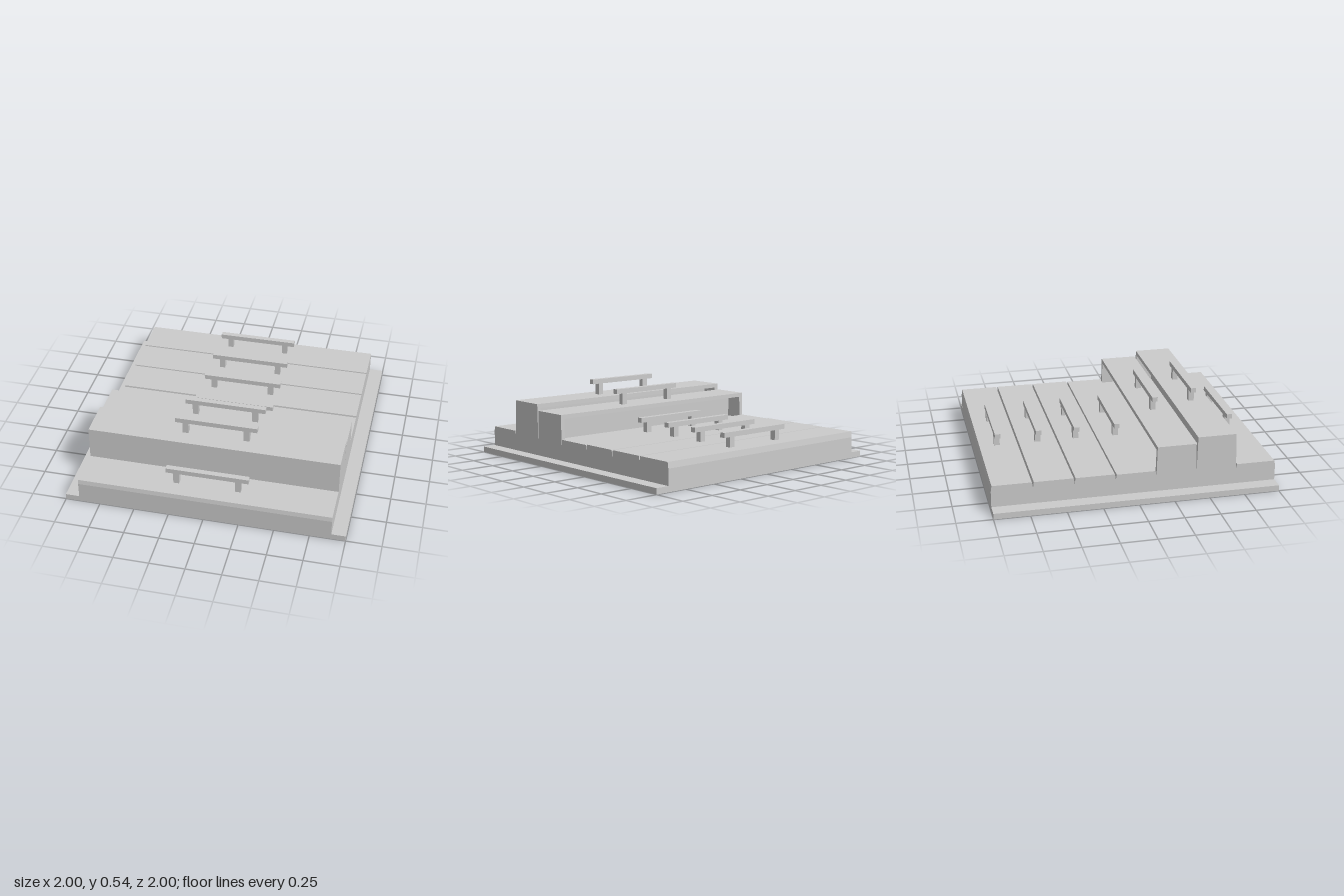
import * as THREE from 'three';

const material = new THREE.MeshStandardMaterial({ color: 0xcccccc, flatShading: true });
const PITCH = 2 / 7, SEAM_Y = 0.155, HALF_W = 0.9;

function add(parent, name, geometry) {
  const mesh = new THREE.Mesh(geometry, material);
  mesh.name = name;
  parent.add(mesh);
  return mesh;
}

// Box given by its minimum and maximum corners
function box(parent, name, [x0, y0, z0], [x1, y1, z1]) {
  const g = new THREE.BoxGeometry(x1 - x0, y1 - y0, z1 - z0);
  g.translate((x0 + x1) / 2, (y0 + y1) / 2, (z0 + z1) / 2);
  return add(parent, name, g);
}

// Narrow a drawer slightly towards its face, leaving V-shaped seams
function taper(mesh, top) {
  const p = mesh.geometry.attributes.position;
  for (let i = 0; i < p.count; i++) {
    const t = (p.getY(i) - SEAM_Y) / (top - SEAM_Y);
    p.setZ(i, p.getZ(i) * (1 - 0.045 * t));
  }
  mesh.geometry.computeVertexNormals();
}

// Rectangle path from corners
function rect(path, x0, y0, x1, y1) {
  path.moveTo(x0, y0);
  path.lineTo(x1, y0);
  path.lineTo(x1, y1);
  path.lineTo(x0, y1);
  path.closePath();
  return path;
}

function makeDrawer(top, open) {
  const drawer = new THREE.Group();
  const half = PITCH / 2, pocket = open ? 0.13 : 0;
  taper(box(drawer, 'drawerBody', [-HALF_W, SEAM_Y, -half + pocket], [HALF_W, top, half]), top);
  if (open) {
    // Rim around the hollow of a pulled-out drawer
    const rim = rect(new THREE.Shape(), -HALF_W, SEAM_Y, HALF_W, top);
    rim.holes.push(rect(new THREE.Path(), -HALF_W + 0.03, 0.175, HALF_W - 0.03, top - 0.03));
    const g = new THREE.ExtrudeGeometry(rim, { depth: pocket, bevelEnabled: false });
    g.translate(0, 0, -half);
    taper(add(drawer, 'drawerRim', g), top);
  }
  return drawer;
}

function makeHandle() {
  const handle = new THREE.Group();
  handle.name = 'handle';
  box(handle, 'handleBar', [-0.295, 0.08, -0.02], [0.295, 0.115, 0.02]);
  for (const s of [-1, 1]) {
    box(handle, 'handlePost', [s * 0.22 - 0.021, -0.01, -0.02], [s * 0.22 + 0.021, 0.08, 0.02]);
  }
  return handle;
}

export function createModel() {
  const model = new THREE.Group();
  model.name = 'drawerChest';

  // Back plate and carcass
  box(model, 'basePlate', [-1, 0, -1], [1, 0.042, 1]);
  box(model, 'carcass', [-HALF_W, 0.042, -1], [HALF_W, SEAM_Y, 1]);

  // Drawers: [face height, handle z, pulled out]
  const drawers = [
    [0.187, 0.855, false],
    [0.417, 0.573, true],
    [0.37, 0.285, true],
    [0.194, 0.003, false],
    [0.198, -0.293, false],
    [0.198, -0.572, false],
    [0.198, -0.867, false],
  ];
  drawers.forEach(([top, handleZ, open], i) => {
    const drawer = makeDrawer(top, open);
    drawer.name = 'drawer' + (i + 1);
    drawer.position.z = 1 - PITCH * (i + 0.5);
    model.add(drawer);
    const handle = makeHandle();
    handle.position.set(0, open ? top + 0.003 : 0.19, handleZ);
    model.add(handle);
  });
  return model;
}
